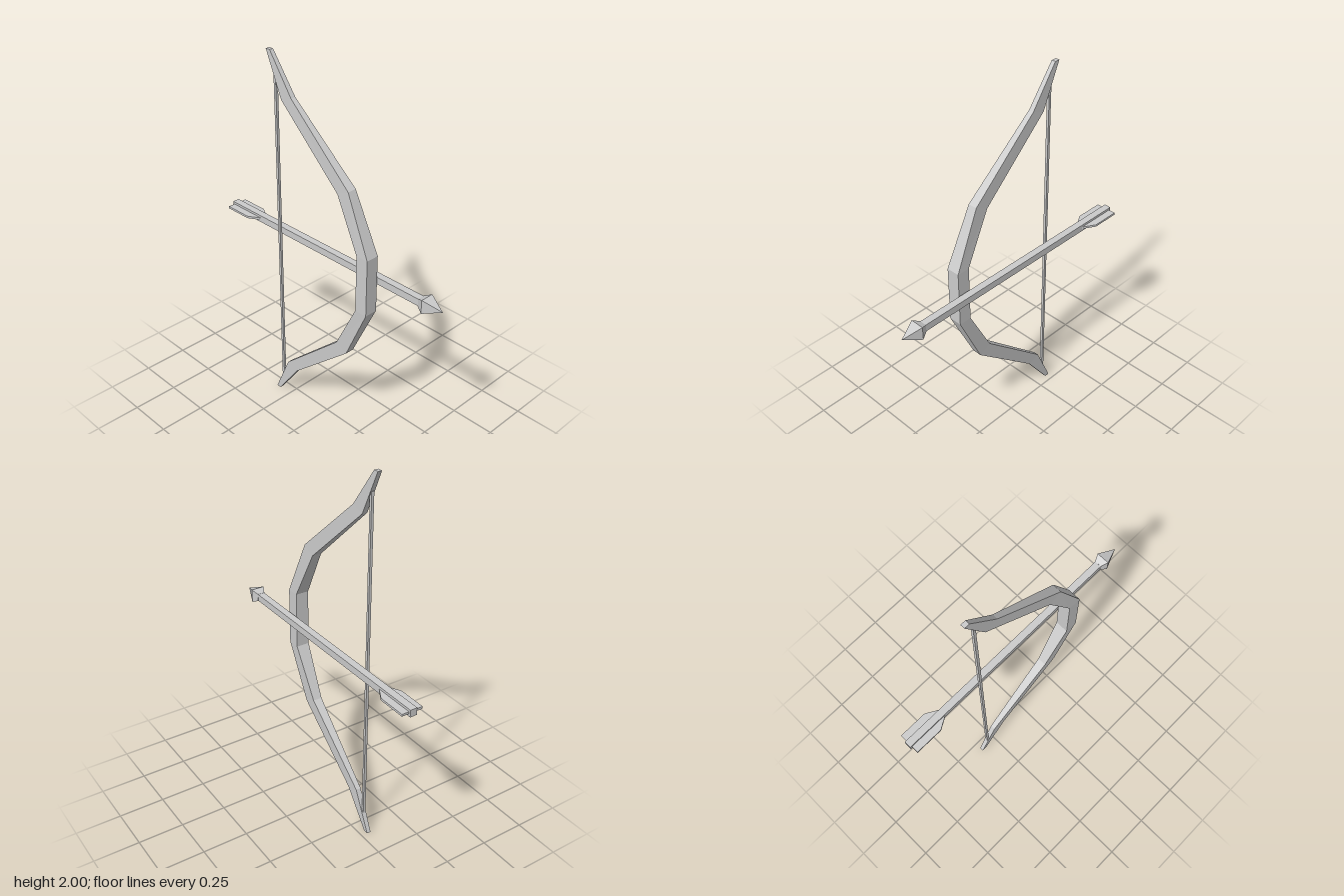
import * as THREE from 'three';

const material = new THREE.MeshStandardMaterial({ color: 0xcccccc, flatShading: true });

function addMesh(parent, name, geometry) {
  const mesh = new THREE.Mesh(geometry, material);
  mesh.name = name;
  parent.add(mesh);
  return mesh;
}

// Skins four-cornered sections, listed bottom to top, into a closed solid.
function loft(sections) {
  const pos = [];
  const tri = (...pts) => pts.forEach((p) => pos.push(...p));
  for (let i = 0; i < sections.length - 1; i++) {
    for (let k = 0; k < 4; k++) {
      const n = (k + 1) % 4;
      const a = sections[i][k], b = sections[i][n];
      const c = sections[i + 1][n], d = sections[i + 1][k];
      tri(b, a, d);
      tri(b, d, c);
    }
  }
  const s = sections[0], e = sections[sections.length - 1];
  tri(s[0], s[1], s[2]); tri(s[0], s[2], s[3]);
  tri(e[2], e[1], e[0]); tri(e[3], e[2], e[0]);
  const geometry = new THREE.BufferGeometry();
  geometry.setAttribute('position', new THREE.Float32BufferAttribute(pos, 3));
  geometry.computeVertexNormals();
  return geometry;
}

// Square frustum pointing along +z; sizes are half-widths.
function frustum(front, back, z0, z1) {
  const r = Math.SQRT2;
  return new THREE.CylinderGeometry(front * r, back * r, z1 - z0, 4)
    .rotateY(Math.PI / 4)
    .rotateX(Math.PI / 2)
    .translate(0, 0, (z0 + z1) / 2);
}

function createBow() {
  const bow = new THREE.Group();
  bow.name = 'bow';
  bow.position.set(-0.045, 1, 0);

  // Upper limb: front z, front y, back z, back y, half width
  const upper = [
    [0.35, 0.155, 0.28, 0.155, 0.036],
    [0.21, 0.46, 0.14, 0.425, 0.025],
    [-0.18, 0.80, -0.25, 0.775, 0.014],
    [-0.325, 1.0, -0.352, 1.0, 0.011],
  ];
  const lower = upper.map(([zf, yf, zb, yb, w]) => [zf, -yf, zb, -yb, w]).reverse();
  const sections = [...lower, ...upper].map(([zf, yf, zb, yb, w]) => [
    [w, yf, zf], [-w, yf, zf], [-w, yb, zb], [w, yb, zb],
  ]);
  addMesh(bow, 'bowLimbs', loft(sections));

  // String runs between the two recurved tips
  addMesh(bow, 'bowString', new THREE.BoxGeometry(0.014, 1.79, 0.014)).position.z = -0.3;
  return bow;
}

function createArrow() {
  const arrow = new THREE.Group();
  arrow.name = 'arrow';
  arrow.position.set(0.017, 1.012, 0);

  addMesh(arrow, 'arrowShaft', new THREE.BoxGeometry(0.038, 0.038, 1.345)).position.z = -0.0625;

  // Head: short flare behind a four-sided point
  addMesh(arrow, 'arrowHeadFlare', frustum(0.037, 0.02, 0.603, 0.638));
  addMesh(arrow, 'arrowHeadPoint', frustum(0, 0.037, 0.638, 0.735));

  // Flat vanes on both sides
  const outline = new THREE.Shape([
    [0.01, 0.725], [0.058, 0.725], [0.058, 0.57], [0.019, 0.503], [0.01, 0.503],
  ].map(([x, y]) => new THREE.Vector2(x, y)));
  const vane = new THREE.ExtrudeGeometry(outline, { depth: 0.012, bevelEnabled: false })
    .translate(0, 0, -0.006)
    .rotateX(-Math.PI / 2);
  addMesh(arrow, 'leftVane', vane);
  addMesh(arrow, 'rightVane', vane).scale.x = -1;
  return arrow;
}

export function createModel() {
  const model = new THREE.Group();
  model.name = 'bowAndArrow';
  model.add(createBow(), createArrow());
  return model;
}
